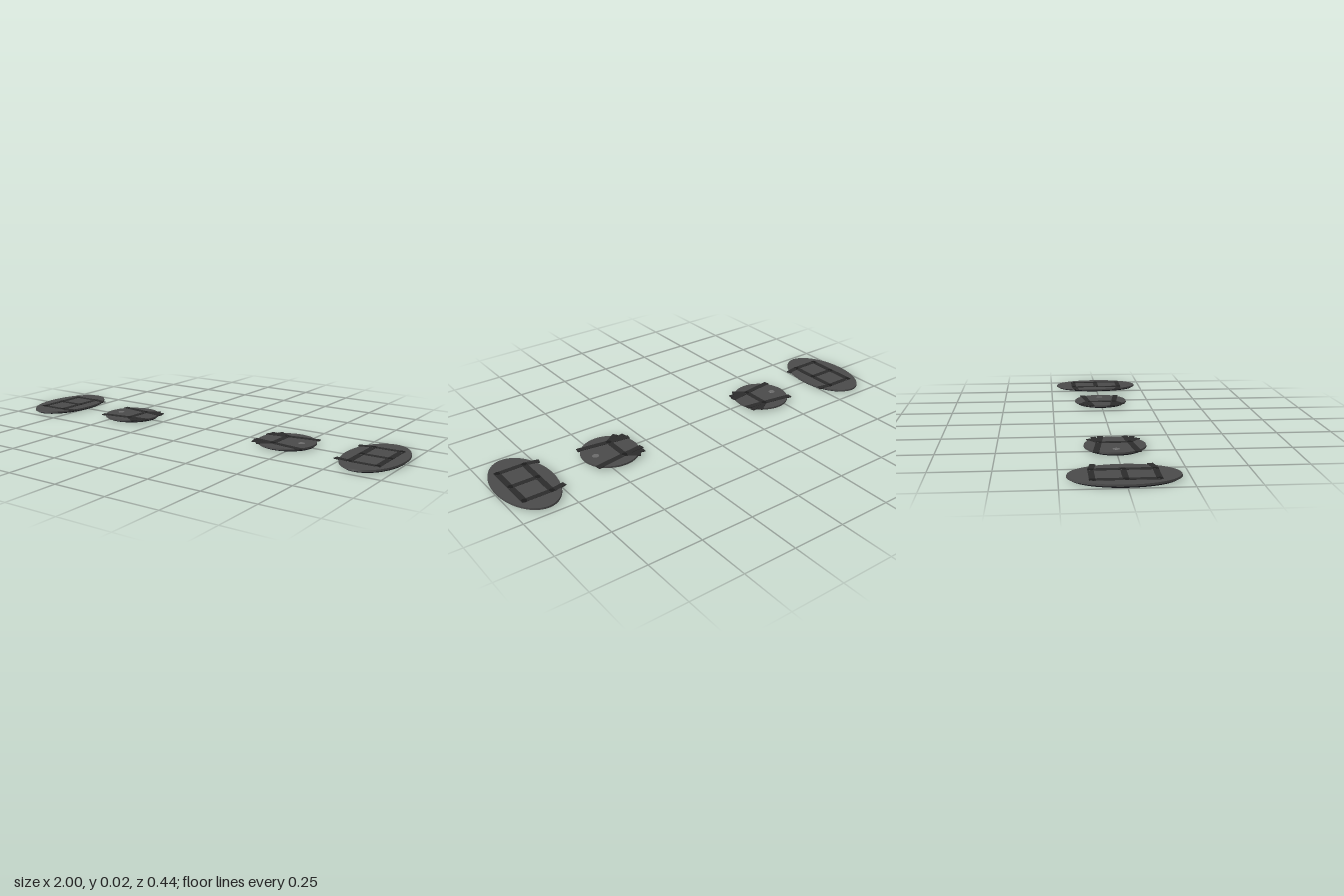
import * as THREE from 'three';

const material = (color) => new THREE.MeshStandardMaterial({ color });
const padMat = material(0x4a4a4a);
const soleMat = material(0x17171c);
const strapMat = material(0x2b2b2b);
const rivetMat = material(0x1c1c1c);
const studMat = material(0x6a6a6a);

function add(parent, name, geometry, mat, x = 0, y = 0, z = 0) {
  const mesh = new THREE.Mesh(geometry, mat);
  mesh.name = name;
  mesh.position.set(x, y, z);
  parent.add(mesh);
  return mesh;
}

// Flat strap between two points [x, z]
function strap(parent, name, a, b, width = 0.026, top = 0.015) {
  const dx = b[0] - a[0], dz = b[1] - a[1];
  const mesh = add(parent, name, new THREE.BoxGeometry(Math.hypot(dx, dz), 0.004, width),
    strapMat, (a[0] + b[0]) / 2, top - 0.002, (a[1] + b[1]) / 2);
  mesh.rotation.y = -Math.atan2(dz, dx);
}

function rivet(parent, x, z, r = 0.014, mat = rivetMat, top = 0.0158) {
  add(parent, 'rivet', new THREE.CylinderGeometry(r * 0.85, r, 0.003, 16), mat, x, top - 0.0015, z);
}

// Oval plate with a thin bevelled rim, on a slightly smaller dark sole
function pad(name, rx, rz) {
  const group = new THREE.Group();
  group.name = name;
  const plate = add(group, 'plate', new THREE.CylinderGeometry(0.99, 1, 0.0075, 64), padMat, 0, 0.01025, 0);
  plate.scale.set(rx, 1, rz);
  const sole = add(group, 'sole', new THREE.CylinderGeometry(1, 1, 0.0065, 64), soleMat, 0, 0.00325, 0);
  sole.scale.set(rx - 0.007, 1, rz - 0.012);
  return group;
}

// Long pad: ladder of straps, inner ends bent inward. Local -x faces the middle.
function longPad() {
  const g = pad('longPad', 0.133, 0.22);
  const inner = -0.063, outer = 0.064;
  for (const x of [inner, outer]) strap(g, 'lengthStrap', [x, -0.136], [x, 0.136]);
  for (const z of [-0.125, 0, 0.125]) {
    strap(g, 'crossStrap', [inner - 0.014, z], [outer + 0.014, z], 0.024, 0.0147);
    for (const x of [inner, outer]) rivet(g, x, z);
  }
  for (const s of [-1, 1])
    strap(g, 'endTab', [inner, s * 0.126], [-0.13, s * 0.112], 0.024, 0.0154);
  return g;
}

// Round pad: two slanted straps, a crossbar, fanned tabs and a stud
function roundPad() {
  const g = pad('roundPad', 0.133, 0.133);
  strap(g, 'crossbar', [-0.035, -0.07], [-0.035, 0.07]);
  for (const s of [-1, 1]) {
    strap(g, 'slantedStrap', [0.117, s * 0.088], [-0.035, s * 0.066], 0.026, 0.0152);
    strap(g, 'innerTab', [-0.035, s * 0.066], [-0.134, s * 0.053], 0.026, 0.0154);
    strap(g, 'fanTab', [-0.035, s * 0.066], [-0.096, s * 0.106], 0.026, 0.0149);
    strap(g, 'fanTab', [-0.035, s * 0.066], [-0.128, s * 0.085], 0.022, 0.0145);
    rivet(g, -0.035, s * 0.066);
  }
  rivet(g, 0.073, 0, 0.018, studMat, 0.0146);
  return g;
}

export function createModel() {
  const model = new THREE.Group();
  model.name = 'strappedPads';
  // Both pairs are symmetric front to back, so a half turn mirrors them
  for (const side of [1, -1]) {
    for (const [part, x] of [[longPad(), 0.867], [roundPad(), 0.444]]) {
      part.position.x = side * x;
      if (side < 0) part.rotation.y = Math.PI;
      model.add(part);
    }
  }
  return model;
}
